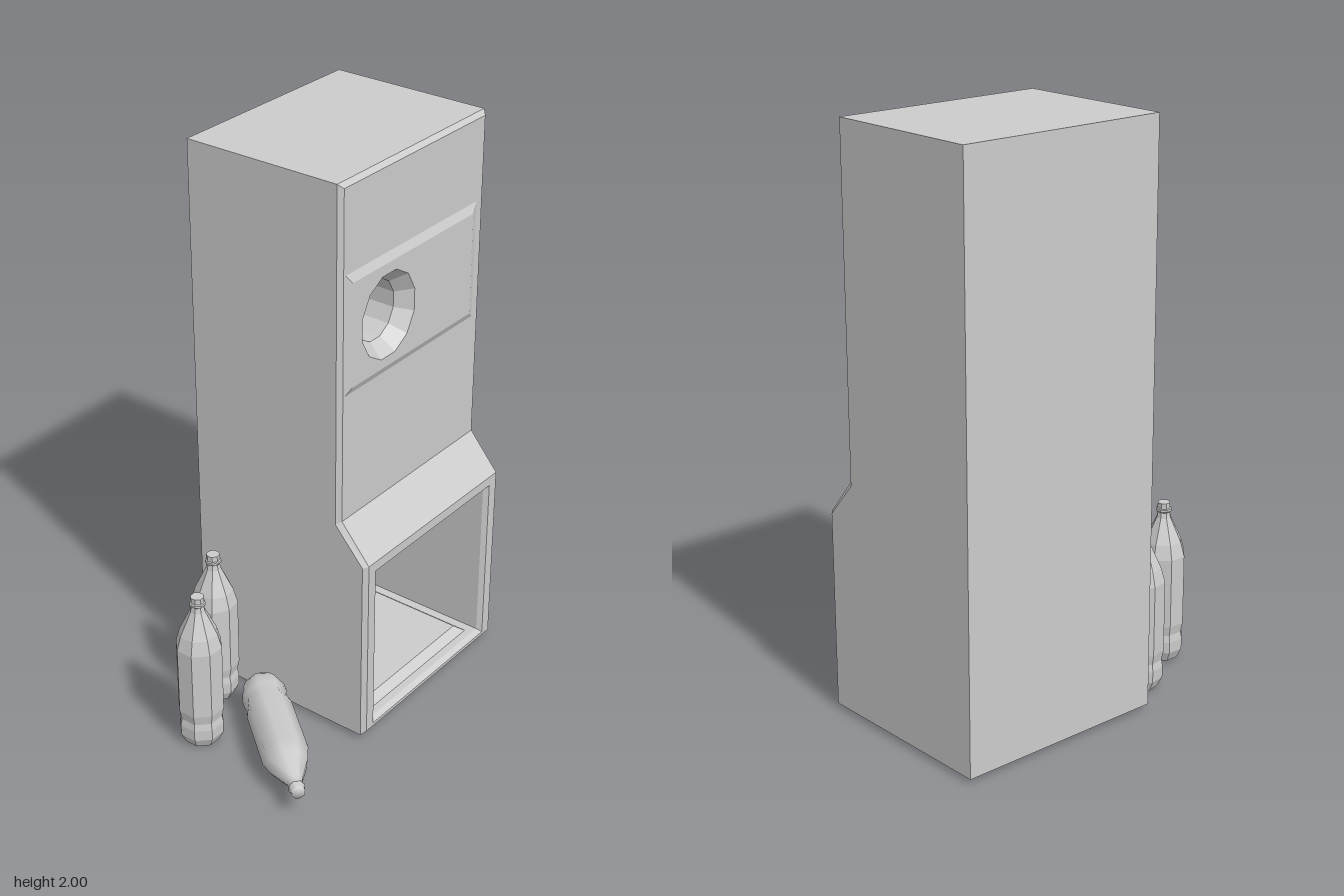
import * as THREE from 'three';

const flat = new THREE.MeshStandardMaterial({ color: 0xcccccc, flatShading: true });
const smooth = new THREE.MeshStandardMaterial({ color: 0xcccccc });

// Loop points are [u, y, x] with u = -z, counter-clockwise as seen from +x.
const rect = (u0, u1, y0, y1, x) => [[u0, y0, x], [u1, y0, x], [u1, y1, x], [u0, y1, x]];
const circle = (u, y, r, x, n = 12) => Array.from({ length: n }, (_, i) => {
  const a = ((i + 0.5) / n) * Math.PI * 2;
  return [u + Math.cos(a) * r, y + Math.sin(a) * r * 1.05, x];
});

// Skin a row of loops, optionally closing the last one.
function loft(loops, cap = false) {
  const pos = [];
  const tri = (...pts) => pts.forEach(([u, y, x]) => pos.push(x, y, -u));
  for (let k = 0; k + 1 < loops.length; k++) {
    const a = loops[k], b = loops[k + 1], n = a.length;
    for (let i = 0; i < n; i++) {
      const j = (i + 1) % n;
      tri(a[i], a[j], b[j]);
      tri(a[i], b[j], b[i]);
    }
  }
  const end = loops[loops.length - 1];
  if (cap) for (let i = 1; i + 1 < end.length; i++) tri(end[0], end[i], end[i + 1]);
  const geo = new THREE.BufferGeometry();
  geo.setAttribute('position', new THREE.Float32BufferAttribute(pos, 3));
  geo.computeVertexNormals();
  return geo;
}

function add(parent, name, geo, mat = flat) {
  const mesh = new THREE.Mesh(geo, mat);
  mesh.name = name;
  parent.add(mesh);
  return mesh;
}

// Stepped outline of the cabinet front: up one side, down the other.
function stepLoop(u0, u1, rail) {
  const right = rail.map(([x, y]) => [u1, y, x]);
  const left = rail.map(([x, y]) => [u0, y, x]).reverse();
  return [...right, ...left];
}

function bottleGeometry() {
  const profile = [[0, 0.008], [0.045, 0], [0.06, 0.005], [0.077, 0.04], [0.078, 0.08], [0.073, 0.105],
    [0.08, 0.14], [0.08, 0.39], [0.066, 0.44], [0.026, 0.525], [0.022, 0.545], [0.028, 0.55],
    [0.028, 0.558], [0.023, 0.56], [0.023, 0.58], [0, 0.58]];
  const geo = new THREE.LatheGeometry(profile.map(([r, y]) => new THREE.Vector2(r, y)), 8);
  return geo.rotateY(Math.PI / 8);
}

export function createModel() {
  const root = new THREE.Group();
  root.name = 'bottleReturnMachine';
  const cabinet = new THREE.Group();
  cabinet.name = 'cabinet';
  root.add(cabinet);

  // Housing with a chamfered front edge
  const edge = [[0.3, 0.015], [0.3, 0.695], [0.19, 0.82], [0.19, 2]];
  const face = [[0.315, 0.03], [0.315, 0.7], [0.205, 0.83], [0.205, 1.985]];
  const back = edge.map(([, y]) => [-0.39, y]);
  add(cabinet, 'housing', loft([
    stepLoop(-0.16, 0.61, back), stepLoop(-0.16, 0.61, edge), stepLoop(-0.145, 0.595, face)]));
  add(cabinet, 'backPanel', loft([rect(-0.16, 0.61, 0.015, 2, -0.39).reverse()], true));

  // Sloped shelf between the lower and upper fronts
  add(cabinet, 'slopedShelf', loft([[
    [-0.145, 0.7, 0.315], [0.595, 0.7, 0.315], [0.595, 0.83, 0.205], [-0.145, 0.83, 0.205]]], true));

  // Lower front with its open compartment
  add(cabinet, 'crateCompartment', loft([
    rect(-0.145, 0.595, 0.03, 0.7, 0.315),
    rect(-0.108, 0.555, 0.042, 0.665, 0.315),
    rect(-0.097, 0.544, 0.054, 0.65, 0.297),
    rect(-0.097, 0.544, 0.054, 0.65, -0.25)], true));
  add(cabinet, 'compartmentTray', loft([
    rect(-0.09, 0.51, -0.27, 0.24, 0.054),
    rect(-0.07, 0.48, -0.24, 0.24, 0.078)], true).rotateZ(Math.PI / 2));

  // Upper front with a raised panel
  const px = 0.218;
  add(cabinet, 'upperFront', loft([
    rect(-0.145, 0.595, 0.83, 1.985, 0.205),
    rect(-0.135, 0.565, 1.285, 1.7, 0.205),
    rect(-0.115, 0.53, 1.312, 1.672, px)]));
  const rim = circle(0.073, 1.49, 0.142, px);
  const shape = new THREE.Shape(
    rect(-0.115, 0.53, 1.312, 1.672, px).map(([u, y]) => new THREE.Vector2(u, y)));
  shape.holes.push(new THREE.Path(rim.map(([u, y]) => new THREE.Vector2(u, y))));
  add(cabinet, 'raisedPanel', new THREE.ShapeGeometry(shape).rotateY(Math.PI / 2).translate(px, 0, 0));

  // Funnel and tube that take the bottles
  add(cabinet, 'bottleInlet', loft([
    rim, circle(0.073, 1.49, 0.1, 0.165), circle(0.073, 1.49, 0.1, -0.1)], true));

  // Two standing bottles and one lying on its side
  [[-0.25, 0.26, 0.2], [-0.13, 0.48, 0]].forEach(([x, z, turn]) => {
    const bottle = add(root, 'standingBottle', bottleGeometry());
    bottle.position.set(x, 0, z);
    bottle.rotation.y = turn;
  });
  const lying = add(root, 'lyingBottle', bottleGeometry(), smooth);
  lying.position.set(-0.073, 0.098, 0.235);
  lying.quaternion.setFromUnitVectors(
    new THREE.Vector3(0, 1, 0), new THREE.Vector3(0.44, 0, 0.352).normalize());

  return root;
}
